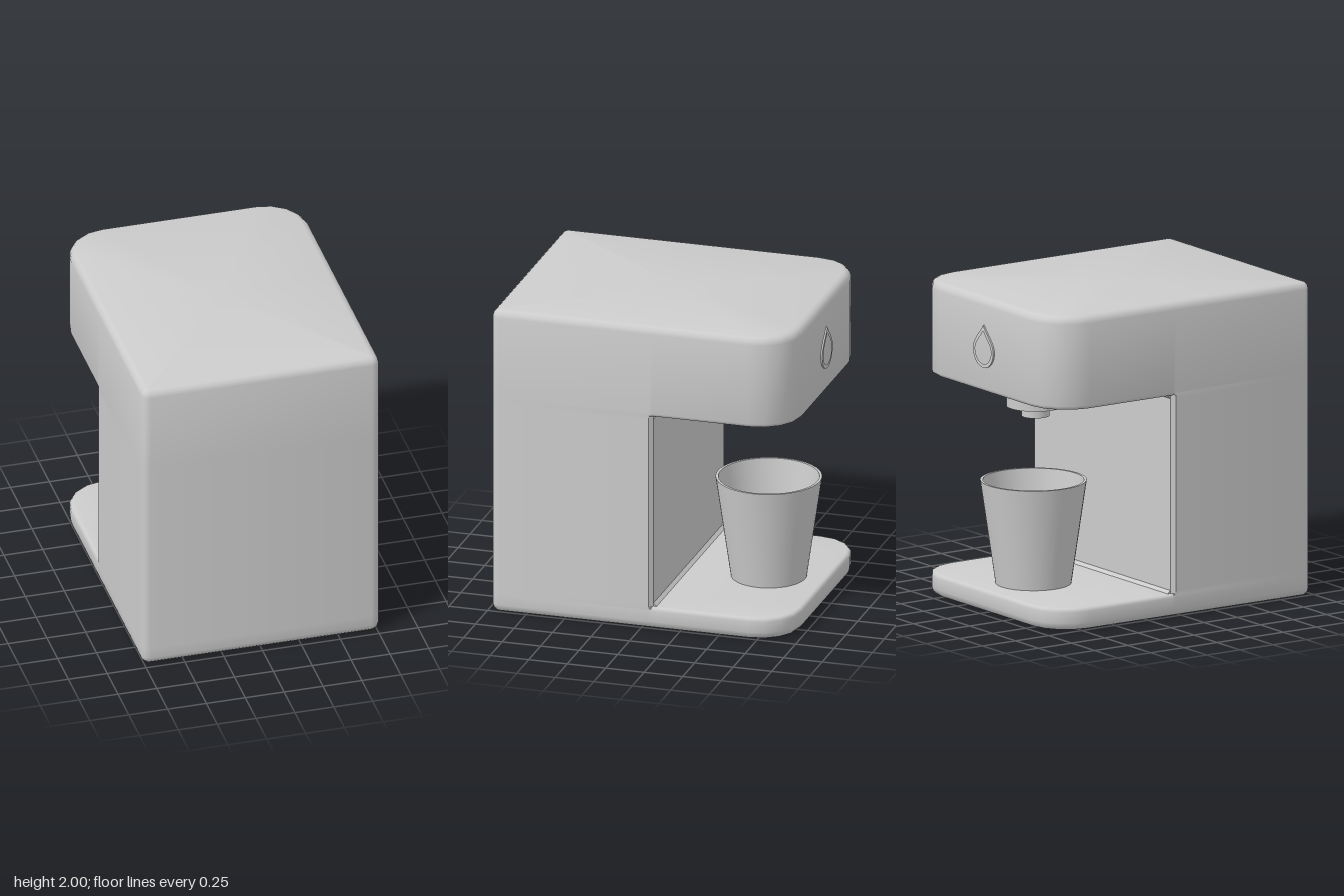
import * as THREE from 'three';
import { toCreasedNormals } from 'three/addons/utils/BufferGeometryUtils.js';

const material = new THREE.MeshStandardMaterial({ color: 0xcccccc });
const HALF = 0.765, BACK = 0.975, FRONT = -0.965, MOUTH = -0.075;

// Plan outline of the body at one height: sharp-ish corners at +z, large ones at -z.
// inset shrinks the outline (only ahead of the column if frontOnly); zMin cuts it off.
function outline(y, inset, frontOnly, zMin = -9) {
  const points = [];
  const backInset = frontOnly ? 0 : inset;
  const arc = (sx, cz, r, d, from) => {
    for (let i = 0; i <= 4; i++) {
      const a = (from - i * 22.5) * Math.PI / 180;
      points.push([sx * (HALF - r) + (r - d) * Math.cos(a), cz + (r - d) * Math.sin(a)]);
    }
  };
  arc(-1, BACK - 0.055, 0.055, backInset, 180);
  arc(1, BACK - 0.055, 0.055, backInset, 90);
  points.push([HALF - backInset, -0.05], [HALF - inset, MOUTH]);
  arc(1, FRONT + 0.27, 0.27, inset, 0);
  arc(-1, FRONT + 0.27, 0.27, inset, -90);
  points.push([-HALF + inset, MOUTH], [-HALF + backInset, -0.05]);
  return points.map(([x, z]) => [x, y, Math.max(z, zMin)]);
}

// Skin over a stack of outlines, closed at both ends.
function loft(rings) {
  const n = rings[0].length, last = (rings.length - 1) * n;
  const positions = rings.flat(2), index = [];
  for (let j = 0; j < rings.length - 1; j++) {
    for (let i = 0; i < n; i++) {
      const a = j * n + i, b = j * n + (i + 1) % n;
      index.push(a, b, b + n, a, b + n, a + n);
    }
  }
  const bottom = rings.length * n;
  positions.push(0, rings[0][0][1], 0, 0, rings[rings.length - 1][0][1], 0);
  for (let i = 0; i < n; i++) {
    const k = (i + 1) % n;
    index.push(bottom, k, i, bottom + 1, last + i, last + k);
  }
  const g = new THREE.BufferGeometry();
  g.setAttribute('position', new THREE.Float32BufferAttribute(positions, 3));
  g.setIndex(index);
  return toCreasedNormals(g, 0.65);
}

// Base, column and overhanging head as one housing with rounded edges
function bodyGeometry() {
  const steps = [0, 1, 2, 3].map(i => i * Math.PI / 6);
  const R = 0.05, r = 0.025, rings = [];
  for (const a of steps) rings.push(outline(R * (1 - Math.cos(a)), R * (1 - Math.sin(a)), false));
  for (const a of steps) rings.push(outline(0.145 - r + r * Math.sin(a), r * (1 - Math.cos(a)), true));
  rings.push(outline(0.145, r, true, MOUTH - 0.02));
  rings.push(outline(0.165, r, true, MOUTH));
  rings.push(outline(1.385, r, true, MOUTH));
  rings.push(outline(1.405, r, true, MOUTH - 0.02));
  for (const a of steps) rings.push(outline(1.405 + r * (1 - Math.cos(a)), r * (1 - Math.sin(a)), true));
  for (const a of steps) rings.push(outline(2 - R + R * Math.sin(a), R * (1 - Math.cos(a)), false));
  return loft(rings);
}

// Teardrop outline, scaled about its middle
function drop(PathType, s) {
  const p = new PathType(), cy = 1.67, tip = cy + 0.16 * s, w = 0.11 * s;
  p.moveTo(0, tip);
  p.bezierCurveTo(0.03 * s, tip - 0.05 * s, w, cy + 0.06 * s, w, cy);
  p.absarc(0, cy, w, 0, -Math.PI, true);
  p.bezierCurveTo(-w, cy + 0.06 * s, -0.03 * s, tip - 0.05 * s, 0, tip);
  return p;
}

export function createModel() {
  const group = new THREE.Group();
  const add = (name, geometry, x = 0, y = 0, z = 0) => {
    const mesh = new THREE.Mesh(geometry, material);
    mesh.name = name;
    mesh.position.set(x, y, z);
    group.add(mesh);
  };

  add('body', bodyGeometry());

  // Outlet under the head
  add('outletCollar', new THREE.CylinderGeometry(0.182, 0.182, 0.15, 32), 0, 1.345, -0.58);
  add('outletNozzle', new THREE.CylinderGeometry(0.087, 0.087, 0.08, 32), 0, 1.245, -0.58);

  // Thin-walled tapered cup standing on the base
  const profile = [[0, 0], [0.236, 0], [0.331, 0.655], [0.314, 0.655], [0.222, 0.02], [0, 0.02]]
    .map(([x, y]) => new THREE.Vector2(x, y));
  add('cup', toCreasedNormals(new THREE.LatheGeometry(profile, 40), 0.6), 0, 0.145, -0.595);

  // Raised drop outline on the head
  const shape = drop(THREE.Shape, 1);
  shape.holes.push(drop(THREE.Path, 0.78));
  add('dropEmblem', new THREE.ExtrudeGeometry(shape, { depth: 0.02, bevelEnabled: false, curveSegments: 16 }), 0, 0, -0.975);

  return group;
}
